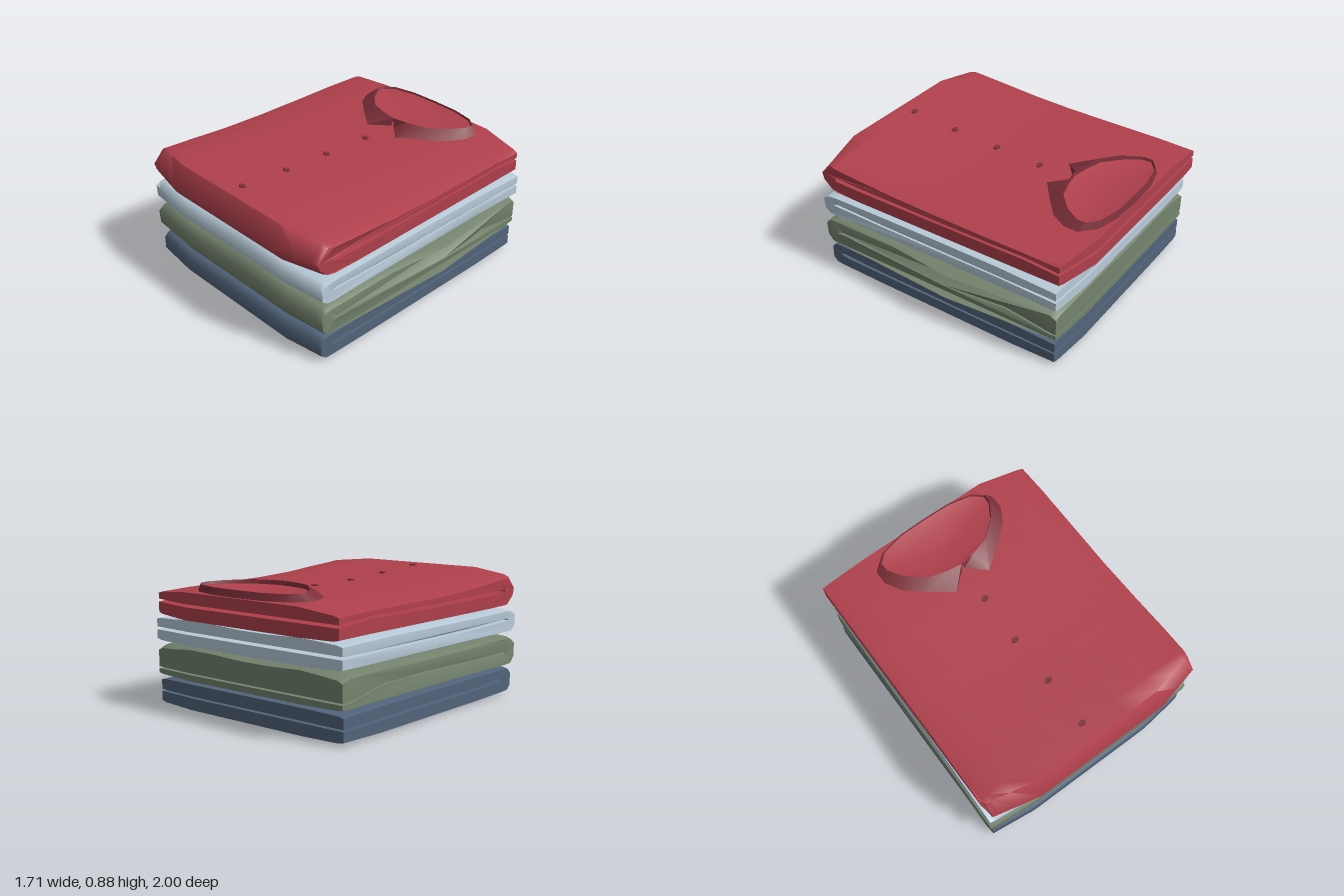
import * as THREE from 'three';
import { toCreasedNormals } from 'three/addons/utils/BufferGeometryUtils.js';

const mat = (name, color, side = THREE.FrontSide) => {
  const m = new THREE.MeshStandardMaterial({ color, side });
  m.name = name;
  return m;
};

// Joins rows of points into a skin; wrap closes each row into a loop
function skin(rows, wrap, crease, extraFaces = []) {
  const n = rows[0].length, index = [];
  for (let j = 0; j < rows.length - 1; j++) {
    for (let i = 0; i < (wrap ? n : n - 1); i++) {
      const k = (i + 1) % n, a = j * n + i, b = j * n + k;
      index.push(a, b, b + n, a, b + n, a + n);
    }
  }
  const geo = new THREE.BufferGeometry();
  geo.setAttribute('position', new THREE.Float32BufferAttribute(rows.flat(2), 3));
  geo.setIndex(index.concat(extraFaces));
  return toCreasedNormals(geo, crease);
}

// Folded shirt: a U-shaped side profile swept across x.
// Each row: [z, bottom, slot low, slot high, top, right edge x, left edge x]
function foldedShirt({ rows, nose, pull, backPull, droop, wave }) {
  const stations = [-1, -0.95, -0.8, -0.6, -0.3, 0, 0.3, 0.6, 0.8, 0.95, 1];
  const sections = stations.map((u) => {
    const edge = Math.max(0, (Math.abs(u) - 0.6) / 0.4);
    const pinch = Math.abs(u) === 1 ? 0.1 : 0;
    const place = (r, z, y) => {
      const mid = (r[5] + r[6]) / 2, half = (r[6] - r[5]) / 2;
      let zz = z;
      if (z > 0.8) zz -= pull * edge;
      if (z < -0.9 && u > 0) zz += backPull * edge;
      return [mid + u * half, y, zz];
    };
    const bottom = (r) => r[1] + pinch * (r[2] - r[1]) + 0.008 * edge;
    const top = (r) => r[4] - pinch * (r[4] - r[3]) - droop * edge
      + wave * Math.sin(u * 5 + r[0]) * (1 - edge);
    const back = [...rows].reverse();
    return [
      ...rows.map((r) => place(r, r[0], bottom(r))),
      ...back.slice(0, -1).map((r) => place(r, r[0], r[2])),
      ...rows.map((r, i) => place(r, i ? r[0] : r[0] - 0.04, i ? r[3] : (r[2] + r[3]) / 2)),
      ...back.map((r) => place(r, r[0], top(r))),
      ...nose.map(([z, y]) => place(rows[0], z, y)),
    ];
  });
  // Side ends
  const n = sections[0].length, last = (sections.length - 1) * n, caps = [];
  const outline = (s) => s.map((p) => new THREE.Vector2(-p[2], p[1]));
  for (const [a, b, c] of THREE.ShapeUtils.triangulateShape(outline(sections[0]), [])) caps.push(c, b, a);
  for (const [a, b, c] of THREE.ShapeUtils.triangulateShape(outline(sections.at(-1)), [])) {
    caps.push(last + a, last + b, last + c);
  }
  return skin(sections, true, 1.05, caps);
}

const shirts = {
  navyShirt: {
    rows: [
      [0.91, 0.008, 0.1, 0.12, 0.19, -0.84, 0.78],
      [0.84, 0.004, 0.095, 0.122, 0.193, -0.84, 0.78],
      [0.5, 0, 0.092, 0.112, 0.195, -0.84, 0.78],
      [0, 0, 0.092, 0.11, 0.195, -0.84, 0.78],
      [-0.6, 0, 0.092, 0.108, 0.193, -0.84, 0.78],
      [-0.94, 0.012, 0.092, 0.105, 0.185, -0.84, 0.78],
    ],
    nose: [[0.945, 0.145], [0.945, 0.055]], pull: 0.04, backPull: 0.02, droop: 0.005, wave: 0,
  },
  greenShirt: {
    rows: [
      [0.9, 0.205, 0.29, 0.31, 0.425, -0.86, 0.8],
      [0.78, 0.202, 0.295, 0.315, 0.435, -0.86, 0.79],
      [0.4, 0.2, 0.305, 0.312, 0.43, -0.85, 0.79],
      [-0.13, 0.2, 0.315, 0.322, 0.432, -0.84, 0.85],
      [-0.57, 0.2, 0.305, 0.318, 0.435, -0.84, 0.8],
      [-0.88, 0.203, 0.25, 0.265, 0.435, -0.84, 0.79],
      [-0.95, 0.208, 0.25, 0.262, 0.41, -0.84, 0.79],
    ],
    nose: [[0.945, 0.36], [0.94, 0.265]], pull: 0.03, backPull: 0.02, droop: 0.02, wave: 0.008,
  },
  paleBlueShirt: {
    rows: [
      [0.9, 0.44, 0.525, 0.54, 0.605, -0.86, 0.8],
      [0.8, 0.437, 0.53, 0.548, 0.612, -0.86, 0.8],
      [0.4, 0.435, 0.515, 0.53, 0.61, -0.85, 0.79],
      [0, 0.435, 0.515, 0.53, 0.613, -0.84, 0.79],
      [-0.5, 0.437, 0.515, 0.53, 0.613, -0.84, 0.79],
      [-0.95, 0.44, 0.515, 0.535, 0.605, -0.84, 0.8],
    ],
    nose: [[0.945, 0.565], [0.94, 0.485]], pull: 0.03, backPull: 0.02, droop: 0.01, wave: 0.008,
  },
  redShirt: {
    rows: [
      [0.92, 0.625, 0.74, 0.765, 0.875, -0.84, 0.78],
      [0.8, 0.622, 0.728, 0.757, 0.866, -0.85, 0.79],
      [0.6, 0.62, 0.725, 0.75, 0.852, -0.85, 0.79],
      [0.3, 0.62, 0.722, 0.746, 0.828, -0.85, 0.785],
      [0, 0.62, 0.72, 0.74, 0.816, -0.85, 0.78],
      [-0.4, 0.62, 0.722, 0.742, 0.811, -0.85, 0.78],
      [-0.7, 0.62, 0.725, 0.745, 0.81, -0.85, 0.78],
      [-0.995, 0.62, 0.705, 0.725, 0.802, -0.85, 0.775],
    ],
    nose: [[1, 0.75], [0.985, 0.7]], pull: 0.075, backPull: 0.065, droop: 0.03, wave: 0,
  },
};

// Height of the top shirt at a given z
function topAt(z) {
  const rows = shirts.redShirt.rows;
  const i = rows.findIndex((r) => r[0] <= z);
  const [a, b] = [rows[i - 1], rows[i]];
  return THREE.MathUtils.mapLinear(z, a[0], b[0], a[4], b[4]);
}

export function createModel() {
  const group = new THREE.Group();
  const red = mat('red cloth', 0xb0404c, THREE.DoubleSide);
  const darkRed = mat('dark red trim', 0x7c2f39, THREE.DoubleSide);
  const materials = {
    navyShirt: mat('navy cloth', 0x52637a),
    greenShirt: mat('green cloth', 0x74836d),
    paleBlueShirt: mat('pale blue cloth', 0xb9cbd9),
    redShirt: red,
  };
  const add = (name, geo, material) => {
    const mesh = new THREE.Mesh(geo, material);
    mesh.name = name;
    group.add(mesh);
    return mesh;
  };

  for (const name in shirts) add(name, foldedShirt(shirts[name]), materials[name]);

  // Collar, mirrored from half outlines of [x, z]
  const cx = -0.02;
  const rimHalf = [[0.003, -0.545], [0.1, -0.56], [0.24, -0.6], [0.37, -0.72], [0.43, -0.82],
    [0.43, -0.88], [0.36, -0.94], [0.2, -0.975], [0, -0.98]];
  const flapHalf = [[0.01, -0.53], [0.135, -0.42], [0.29, -0.54], [0.42, -0.65], [0.48, -0.76],
    [0.48, -0.86], [0.38, -0.945], [0.22, -0.985], [0, -0.995]];
  const mirrored = (half, height) => [
    ...half.map(([x, z]) => [cx + x, height(z), z]),
    ...half.slice(0, -1).reverse().map(([x, z]) => [cx - x, height(z), z]),
  ];
  const flap = mirrored(flapHalf, (z) => topAt(z) + 0.004);
  const rim = mirrored(rimHalf, (z) => 0.87 + (z + 0.545) * 0.04);
  const shrink = (loop, s, y) => loop.map(([x, , z]) => [cx + (x - cx) * s, y, -0.74 + (z + 0.74) * s]);
  const band = shrink(rim, 0.98, 0.84);
  add('collar', skin([flap, rim, band], false, 0.5), darkRed);

  // Cloth inside the neck opening
  add('neckLining', skin([band, shrink(rim, 0.6, 0.82), shrink(rim, 0.001, 0.817)], true, 1), red);

  // Buttons down the front
  for (const [x, z] of [[-0.03, -0.27], [-0.045, 0.085], [-0.045, 0.44], [-0.05, 0.8]]) {
    const button = add('button', new THREE.CylinderGeometry(0.026, 0.026, 0.009, 16), darkRed);
    button.scale.z = 0.75;
    button.position.set(x, topAt(z) + 0.004, z);
    button.rotation.x = -Math.atan((topAt(z + 0.05) - topAt(z - 0.05)) / 0.1);
  }
  return group;
}
